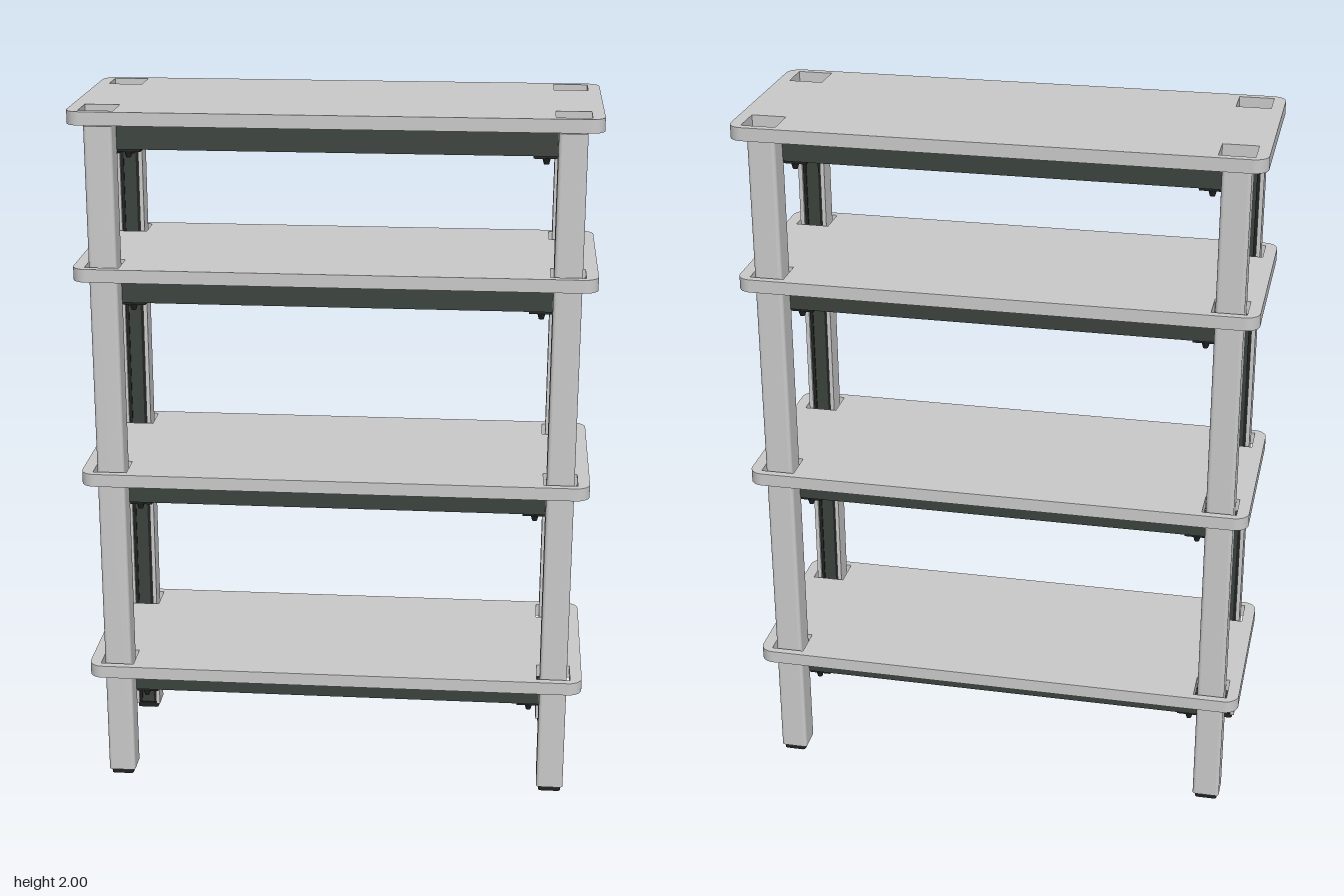
import * as THREE from 'three';

const POST_X = 0.638, POST_Z = 0.22;
const SHELF_T = 0.037;
const SHELF_Y = [0.333, 0.932, 1.53, 1.963]; // underside of each shelf

const panelGrey = new THREE.MeshStandardMaterial({ color: 0xcacaca });
panelGrey.name = 'panelGrey';
const frameGreen = new THREE.MeshStandardMaterial({ color: 0x3b423c });
frameGreen.name = 'frameGreen';
const fittingBlack = new THREE.MeshStandardMaterial({ color: 0x202321 });
fittingBlack.name = 'fittingBlack';

function add(parent, name, geometry, material, x = 0, y = 0, z = 0) {
  const mesh = new THREE.Mesh(geometry, material);
  mesh.name = name;
  mesh.position.set(x, y, z);
  parent.add(mesh);
  return mesh;
}

// Box given by its size, centred in x and z, standing on y
function box(parent, name, material, w, h, d, x, y, z) {
  return add(parent, name, new THREE.BoxGeometry(w, h, d), material, x, y + h / 2, z);
}

// Upright extrusion of a plan shape (shape y points to the back)
function upright(shape, height) {
  const g = new THREE.ExtrudeGeometry(shape, { depth: height, bevelEnabled: false, curveSegments: 6 });
  g.rotateX(-Math.PI / 2);
  return g;
}

function roundedRect(w, d, r) {
  const s = new THREE.Shape(), x = w / 2, y = d / 2;
  s.moveTo(-x + r, -y);
  s.lineTo(x - r, -y);
  s.absarc(x - r, -y + r, r, -Math.PI / 2, 0);
  s.absarc(x - r, y - r, r, 0, Math.PI / 2);
  s.absarc(-x + r, y - r, r, Math.PI / 2, Math.PI);
  s.absarc(-x + r, -y + r, r, Math.PI, Math.PI * 1.5);
  return s;
}

// Shelf board with a square cut-out around every post
function shelfGeometry() {
  const s = roundedRect(1.44, 0.578, 0.04);
  for (const sx of [-1, 1]) for (const sz of [-1, 1]) {
    const h = new THREE.Path(), x = sx * POST_X, y = sz * 0.219, a = 0.048;
    h.moveTo(x - a, y - a);
    h.lineTo(x - a, y + a);
    h.lineTo(x + a, y + a);
    h.lineTo(x + a, y - a);
    h.closePath();
    s.holes.push(h);
  }
  return upright(s, SHELF_T);
}

// Channel post, open towards the middle of the unit
function postGeometry() {
  const s = new THREE.Shape(), x = 0.039, y = 0.036, r = 0.01, t = 0.012;
  s.moveTo(-x + r, -y);
  s.lineTo(x - r, -y);
  s.absarc(x - r, -y + r, r, -Math.PI / 2, 0);
  s.lineTo(x, y);
  s.lineTo(x - t, y);
  s.lineTo(x - t, -y + t);
  s.lineTo(-x + t, -y + t);
  s.lineTo(-x + t, y);
  s.lineTo(-x, y);
  s.absarc(-x + r, -y + r, r, Math.PI, Math.PI * 1.5);
  return upright(s, 1.94);
}

function makePost(geometry) {
  const post = new THREE.Group();
  add(post, 'postShell', geometry, panelGrey, 0, 0.015, 0);
  box(post, 'postCore', frameGreen, 0.054, 1.948, 0.046, 0, 0.015, -0.001);
  box(post, 'postCap', fittingBlack, 0.044, 0.004, 0.036, 0, 1.963, -0.001);
  add(post, 'capBolt', new THREE.CylinderGeometry(0.011, 0.011, 0.006, 16), frameGreen, 0, 1.969, -0.001);
  add(post, 'foot', upright(roundedRect(0.064, 0.06, 0.008), 0.016), fittingBlack);
  // Seams along the open channel
  for (const s of [-1, 1]) {
    box(post, 'channelSeam', fittingBlack, 0.009, 1.93, 0.004, s * 0.0225, 0.018, -0.026);
  }
  return post;
}

// Rail frame and corner fittings under one shelf, y = 0 at the shelf underside
function makeFrame() {
  const frame = new THREE.Group();
  for (const s of [-1, 1]) {
    box(frame, 'longRail', frameGreen, 1.22, 0.074, 0.022, 0, -0.082, s * 0.178);
    box(frame, 'longRailFlange', frameGreen, 1.22, 0.008, 0.022, 0, -0.082, s * 0.157);
    box(frame, 'sideRail', frameGreen, 0.046, 0.074, 0.366, s * 0.633, -0.082, 0);
    box(frame, 'middlePad', fittingBlack, 0.04, 0.008, 0.04, s * 0.633, -0.008, 0);
  }
  for (const sx of [-1, 1]) for (const sz of [-1, 1]) {
    // Corner clamp with two screw heads below and a pad above
    const clamp = new THREE.Group();
    clamp.name = 'cornerClamp';
    box(clamp, 'clampPlate', fittingBlack, 0.1, 0.008, 0.075, sx * 0.585, -0.09, sz * 0.145);
    box(clamp, 'clampBlock', fittingBlack, 0.04, 0.05, 0.05, sx * 0.59, -0.085, sz * 0.145);
    box(clamp, 'shelfPad', fittingBlack, 0.075, 0.008, 0.06, sx * 0.578, -0.008, sz * 0.135);
    box(clamp, 'railPad', fittingBlack, 0.04, 0.008, 0.06, sx * 0.633, -0.008, sz * 0.135);
    for (const [x, z] of [[0.57, 0.172], [0.57, 0.118], [0.61, 0.118]]) {
      add(clamp, 'screwHead', new THREE.CylinderGeometry(0.012, 0.007, 0.018, 12),
        fittingBlack, sx * x, -0.097, sz * z);
    }
    frame.add(clamp);
  }
  return frame;
}

export function createModel() {
  const model = new THREE.Group();
  model.name = 'shelvingUnit';

  const postGeo = postGeometry();
  for (const sx of [-1, 1]) for (const sz of [-1, 1]) {
    const post = makePost(postGeo);
    post.name = (sz > 0 ? 'front' : 'back') + (sx > 0 ? 'Left' : 'Right') + 'Post';
    post.position.set(sx * POST_X, 0, sz * POST_Z);
    if (sz < 0) post.rotation.y = Math.PI;
    model.add(post);
  }

  const shelfGeo = shelfGeometry();
  SHELF_Y.forEach((y, i) => {
    add(model, 'shelf' + (i + 1), shelfGeo, panelGrey, 0, y, 0);
    const frame = makeFrame();
    frame.name = 'shelfFrame' + (i + 1);
    frame.position.y = y;
    model.add(frame);
  });

  return model;
}
